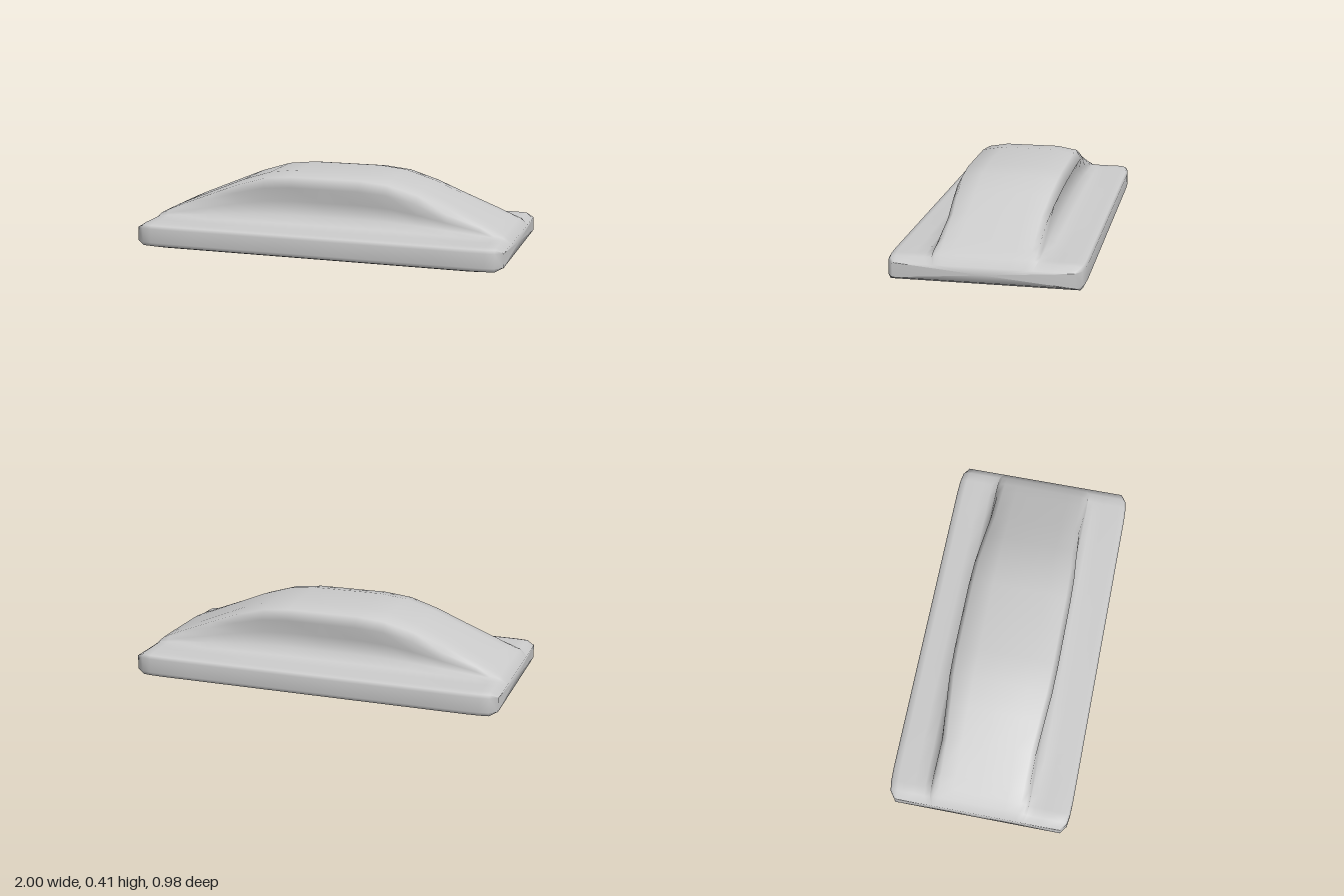
import * as THREE from 'three';

// Stations along x: [x, crest height, lip half-width, neck half-width, base half-width, floor y, ceiling y]
const half = [
  [0, 0.408, 0.282, 0.242, 0.49, 0, 1],
  [0.19, 0.408, 0.282, 0.242, 0.49, 0, 1],
  [0.34, 0.392, 0.278, 0.245, 0.49, 0, 1],
  [0.5, 0.342, 0.265, 0.25, 0.49, 0, 1],
  [0.66, 0.276, 0.252, 0.258, 0.49, 0, 1],
  [0.84, 0.201, 0.25, 0.264, 0.49, 0, 1],
  [0.91, 0.17, 0.25, 0.266, 0.487, 0.004, 1],
  [0.96, 0.145, 0.25, 0.266, 0.479, 0.01, 0.145],
  [1, 0.105, 0.25, 0.266, 0.45, 0.03, 0.105],
];
const stations = [...half.slice(1).reverse().map(([x, ...rest]) => [-x, ...rest]), ...half];

// Closed cross-section: slab edge, concave neck, overhanging lip and crest, mirrored in z
function section([x, crest, lip, neck, width, floor, ceiling]) {
  const base = 0.13;
  const up = (t) => base + (crest - base) * t;
  const side = [
    [0.3, 0], [0.45, 0], [0.48, 0.01], [0.49, 0.03], [0.49, 0.105], [0.48, 0.122], [0.45, base],
    [0.36, base], [0.3, up(0.05)], [0.268, up(0.2)], [neck, up(0.45)],
    [lip, up(0.74)], [lip - 0.027, up(0.93)], [0.145, up(1)],
  ];
  const right = side.map(([z, y]) => [z, y]);
  const left = side.map(([z, y]) => [-z, y]).reverse();
  const ring = [[0, 0], ...right, [0, up(1)], ...left];
  return ring.map(([z, y]) => [x, Math.min(Math.max(y, floor), ceiling), z * width / 0.49]);
}

function loft(rings) {
  const n = rings[0].length;
  const points = rings.flat();
  const index = [];
  for (let i = 0; i < rings.length - 1; i++) {
    for (let j = 0; j < n; j++) {
      const k = (j + 1) % n;
      const a = i * n + j, b = i * n + k, c = a + n, d = b + n;
      index.push(a, c, b, b, c, d);
    }
  }
  // End caps
  const last = (rings.length - 1) * n;
  const start = points.length;
  points.push([rings[0][0][0], 0.068, 0], [rings.at(-1)[0][0], 0.068, 0]);
  for (let j = 0; j < n; j++) {
    const k = (j + 1) % n;
    index.push(start, j, k, start + 1, last + k, last + j);
  }
  const geometry = new THREE.BufferGeometry();
  geometry.setAttribute('position', new THREE.Float32BufferAttribute(points.flat(), 3));
  geometry.setIndex(index);
  geometry.computeVertexNormals();
  return geometry;
}

export function createModel() {
  const group = new THREE.Group();
  group.name = 'handledBlock';
  // Slab and arched grip form one continuous skin
  const body = new THREE.Mesh(
    loft(stations.map(section)),
    new THREE.MeshStandardMaterial({ color: 0xcccccc }),
  );
  body.name = 'slabWithGrip';
  group.add(body);
  return group;
}
